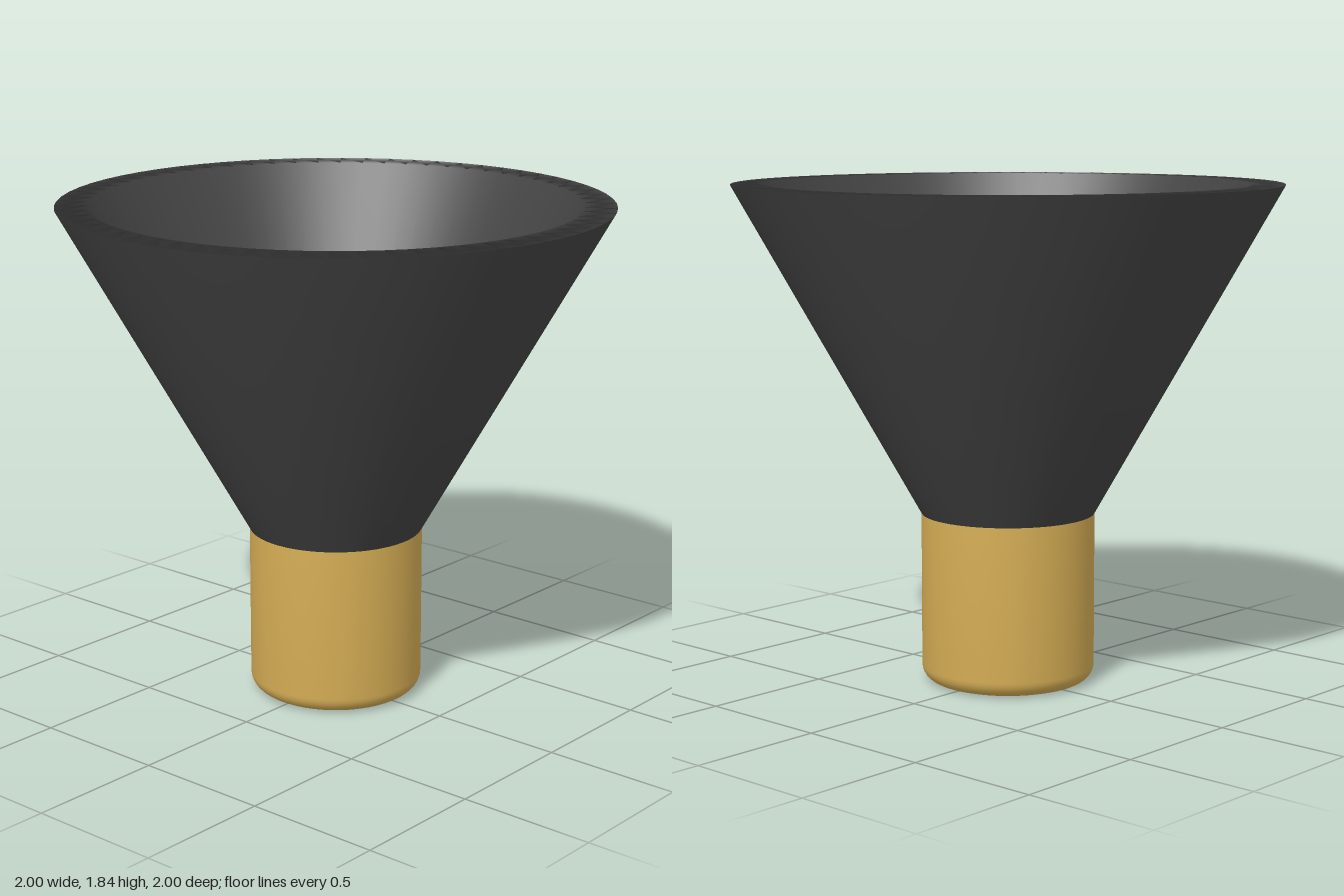
import * as THREE from 'three';
import { toCreasedNormals } from 'three/addons/utils/BufferGeometryUtils.js';

const SEGMENTS = 64;
const dark = new THREE.MeshStandardMaterial({ color: 0x444444 });
const gold = new THREE.MeshStandardMaterial({ color: 0xd6ae55 });

// Revolves [radius, height] pairs, listed bottom-outside-top so faces point outward.
function turned(name, profile, material, crease) {
  let geometry = new THREE.LatheGeometry(profile.map(([r, y]) => new THREE.Vector2(r, y)), SEGMENTS);
  if (crease) geometry = toCreasedNormals(geometry, crease);
  const mesh = new THREE.Mesh(geometry, material);
  mesh.name = name;
  return mesh;
}

export function createModel() {
  const model = new THREE.Group();
  model.name = 'funnel';

  // Flared cup with a flat, softly shaded rim
  model.add(turned('cone', [[0.32, 0.63], [1, 1.84], [0.88, 1.84], [0.28, 0.63]], dark));

  // Neck: blind bore, rounded foot, straight wall, grooved floor inside the cone
  const foot = [];
  for (let i = 0; i <= 8; i++) {
    const a = (i / 8) * Math.PI / 2;
    foot.push([0.26 + 0.06 * Math.sin(a), 0.06 - 0.06 * Math.cos(a)]);
  }
  model.add(turned('neck', [
    [0, 0.45], [0.165, 0.45], [0.165, 0],
    ...foot,
    [0.32, 0.63], [0.28, 0.63], [0.22, 0.5], [0.165, 0.6],
  ], gold, 0.6));

  // Dark plug closing the middle of the neck
  const plug = new THREE.Mesh(new THREE.CylinderGeometry(0.165, 0.165, 0.1, SEGMENTS), dark);
  plug.name = 'plug';
  plug.position.y = 0.55;
  model.add(plug);

  return model;
}
